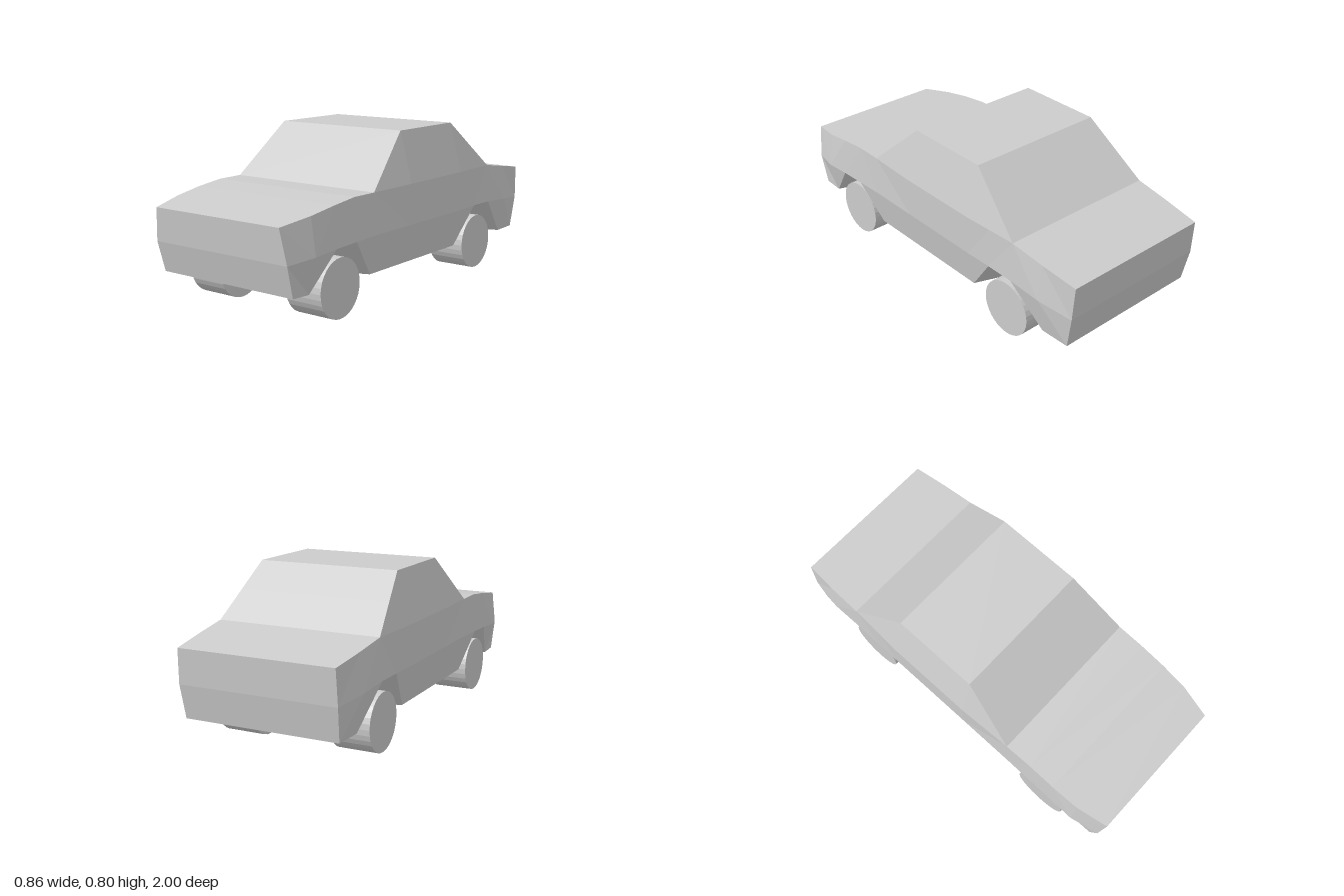
import * as THREE from 'three';

// Body cross-sections, front to back: three or four [halfWidth, y, z] corners each,
// in the order sill, waist, belt line and (for the cabin) roof edge.
const FLOOR = 0.16;
const sections = [
  [[0.39, 0.165, 0.94], [0.395, 0.315, 0.98], [0.37, 0.48, 1]],
  [[0.39, FLOOR, 0.835], [0.43, 0.33, 0.835], [0.405, 0.507, 0.835]],
  [[0, FLOOR, 0.69], [0.43, 0.34, 0.69], [0.413, 0.53, 0.69]],
  [[0, FLOOR, 0.545], [0.43, 0.345, 0.545], [0.415, 0.547, 0.545]],
  [[0.395, FLOOR, 0.4], [0.43, 0.35, 0.4], [0.418, 0.547, 0.4]],
  [[0.395, FLOOR, 0.115], [0.43, 0.35, 0.115], [0.432, 0.55, 0.115], [0.365, 0.8, 0.115]],
  [[0.395, FLOOR, -0.335], [0.43, 0.35, -0.335], [0.432, 0.55, -0.335], [0.365, 0.8, -0.335]],
  [[0, FLOOR, -0.48], [0.43, 0.353, -0.48], [0.425, 0.55, -0.48], [0.391, 0.677, -0.48]],
  [[0, FLOOR, -0.63], [0.43, 0.353, -0.63], [0.418, 0.55, -0.63]],
  [[0.395, FLOOR, -0.81], [0.43, 0.343, -0.81], [0.41, 0.523, -0.81]],
  [[0.39, FLOOR, -0.96], [0.4, 0.325, -0.99], [0.395, 0.495, -1]],
];

function bodyGeometry() {
  // Mirror each half section into a ring of eight corners
  const rings = sections.map((s) => {
    const half = s.length === 4 ? s : [...s, s[2]];
    const left = half.map(([x, y, z]) => new THREE.Vector3(x, y, z));
    const right = half.map(([x, y, z]) => new THREE.Vector3(-x, y, z)).reverse();
    return [...left, ...right];
  });
  const pos = [];
  const tri = (a, b, c) => {
    if (new THREE.Triangle(a, b, c).getArea() < 1e-7) return;
    for (const p of [a, b, c]) pos.push(p.x, p.y, p.z);
  };
  const quad = (a, b, c, d, flip) => {
    if (flip) { tri(a, b, d); tri(b, c, d); }
    else { tri(a, b, c); tri(a, c, d); }
  };
  // Skin between rings; the diagonals form the sloping ends of the wheel arches
  for (let i = 0; i < rings.length - 1; i++) {
    const p = rings[i], q = rings[i + 1];
    const archStarts = sections[i + 1][0][0] === 0;
    for (let j = 0; j < 8; j++) {
      const k = (j + 1) % 8;
      quad(q[j], q[k], p[k], p[j], j < 4 ? archStarts : !archStarts);
    }
  }
  // Flat nose and tail
  const f = rings[0], b = rings[rings.length - 1];
  for (const j of [0, 1]) {
    quad(f[j], f[j + 1], f[6 - j], f[7 - j]);
    quad(b[7 - j], b[6 - j], b[j + 1], b[j]);
  }
  const g = new THREE.BufferGeometry();
  g.setAttribute('position', new THREE.Float32BufferAttribute(pos, 3));
  g.computeVertexNormals();
  return g;
}

export function createModel() {
  const car = new THREE.Group();
  car.name = 'car';
  const material = new THREE.MeshStandardMaterial({ color: 0xcccccc, flatShading: true });

  const body = new THREE.Mesh(bodyGeometry(), material);
  body.name = 'body';
  car.add(body);

  // Four plain drum wheels
  const wheelGeometry = new THREE.CylinderGeometry(0.142, 0.142, 0.2, 32).rotateZ(Math.PI / 2);
  for (const [end, z] of [['front', 0.62], ['rear', -0.563]]) {
    for (const [side, x] of [['Left', 0.295], ['Right', -0.305]]) {
      const wheel = new THREE.Mesh(wheelGeometry, material);
      wheel.name = `${end}${side}Wheel`;
      wheel.position.set(x, 0.142, z);
      car.add(wheel);
    }
  }
  return car;
}
